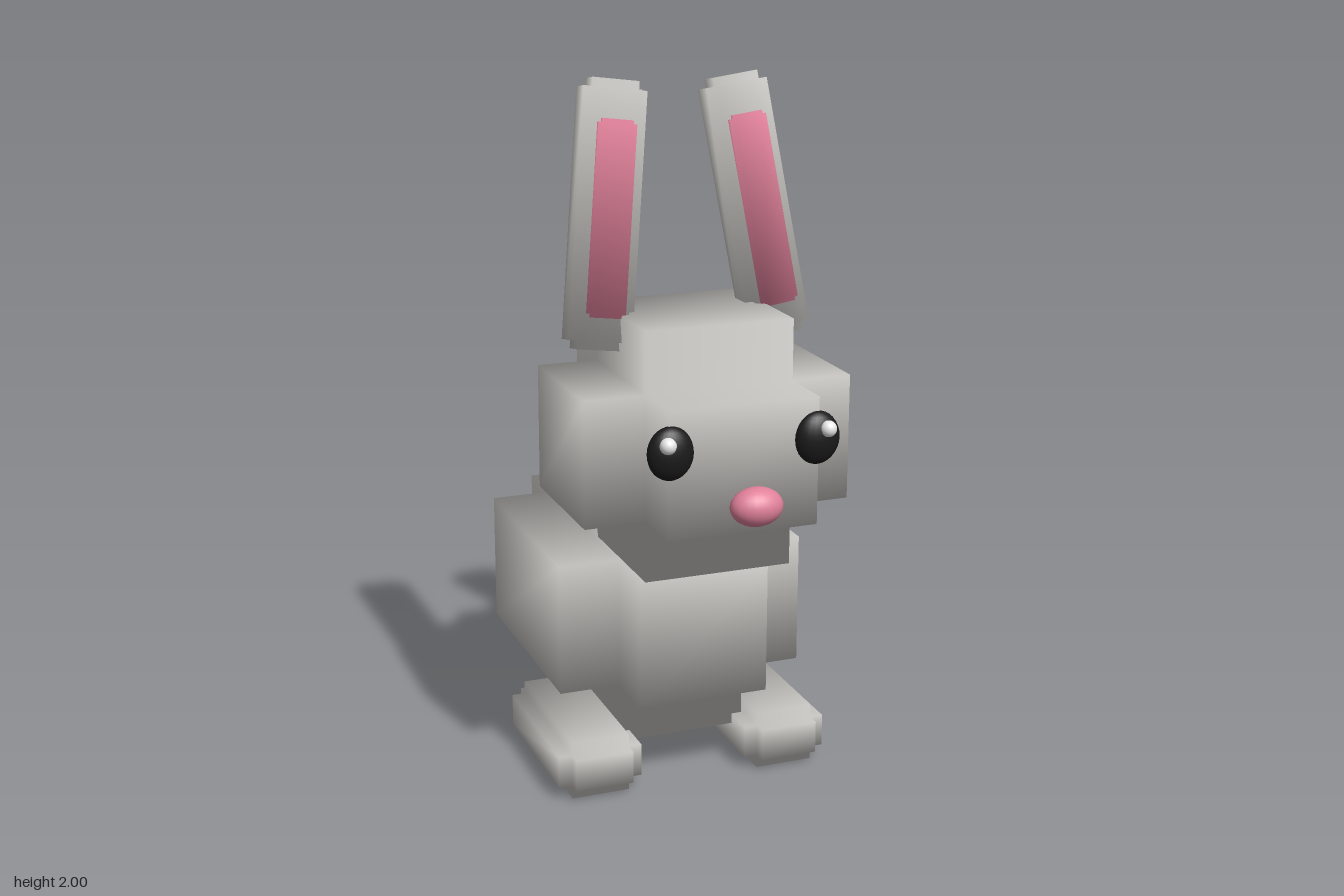
import * as THREE from 'three';
import { mergeGeometries } from 'three/addons/utils/BufferGeometryUtils.js';

const material = (name, color) => {
  const m = new THREE.MeshStandardMaterial({ color });
  m.name = name;
  return m;
};

// Block with every edge and corner notched by a step, shaded softly as if rounded.
// It is a core with an arm on each of its six faces.
function steppedBlock(w, h, d, step) {
  const outer = [w / 2, h / 2, d / 2];
  const core = outer.map((v) => v - step);
  const arms = [];
  for (let axis = 0; axis < 3; axis++) {
    for (const sign of [1, -1]) {
      const size = core.map((v) => v * 2);
      size[axis] = step;
      const centre = [0, 0, 0];
      centre[axis] = sign * (core[axis] + step / 2);
      const arm = new THREE.BoxGeometry(...size).translate(...centre);
      // drop the hidden face against the core
      const inner = axis * 2 + (sign > 0 ? 1 : 0);
      const index = Array.from(arm.index.array);
      index.splice(inner * 6, 6);
      arm.setIndex(index);
      arm.clearGroups();
      // soft normals: each corner points out along its octant
      const p = arm.attributes.position;
      const k = 1 / Math.sqrt(3);
      for (let i = 0; i < p.count; i++) {
        arm.attributes.normal.setXYZ(i,
          Math.sign(p.getX(i)) * k, Math.sign(p.getY(i)) * k, Math.sign(p.getZ(i)) * k);
      }
      arms.push(arm);
    }
  }
  return mergeGeometries(arms);
}

export function createModel() {
  const model = new THREE.Group();
  model.name = 'rabbit';
  const fur = material('grey fur', 0xc8c6c2);
  const pink = material('pink', 0xe0819a);
  const black = material('eye black', 0x1a1a1a);
  const white = material('eye shine', 0xffffff);

  const add = (parent, name, geometry, mat, x, y, z) => {
    const mesh = new THREE.Mesh(geometry, mat);
    mesh.name = name;
    mesh.position.set(x, y, z);
    parent.add(mesh);
    return mesh;
  };
  const ball = (rx, ry, rz) => new THREE.SphereGeometry(1, 20, 16).scale(rx, ry, rz);

  // Body, head and tail
  add(model, 'body', steppedBlock(0.73, 0.73, 0.995, 0.175), fur, 0, 0.467, -0.083);
  add(model, 'head', steppedBlock(0.76, 0.69, 0.73, 0.17), fur, 0, 1.035, 0.316);
  add(model, 'tail', new THREE.SphereGeometry(0.165, 16, 16), fur, 0, 0.403, -0.648);
  add(model, 'nose', ball(0.072, 0.052, 0.052), pink, 0, 0.96, 0.763);

  // Paired parts
  for (const [side, s] of [['left', 1], ['right', -1]]) {
    add(model, side + 'Foot', steppedBlock(0.245, 0.17, 0.53, 0.038), fur, s * 0.282, 0.085, 0.115);
    add(model, side + 'Eye', ball(0.063, 0.072, 0.038), black, s * 0.205, 1.1, 0.68);
    add(model, side + 'EyeShine', ball(0.022, 0.022, 0.022), white, s * 0.223, 1.13, 0.712);

    // Ear, tilted back and inward, with its pink lining
    const ear = new THREE.Group();
    ear.name = side + 'Ear';
    ear.position.set(s * 0.217, 1.633, 0.218);
    ear.rotation.set(-0.175, 0, s * 0.13);
    add(ear, 'earShell', steppedBlock(0.18, 0.72, 0.11, 0.024), fur, 0, 0, 0);
    add(ear, 'earLining', steppedBlock(0.108, 0.525, 0.044, 0.01), pink, 0, -0.01, 0.055);
    model.add(ear);
  }
  return model;
}
